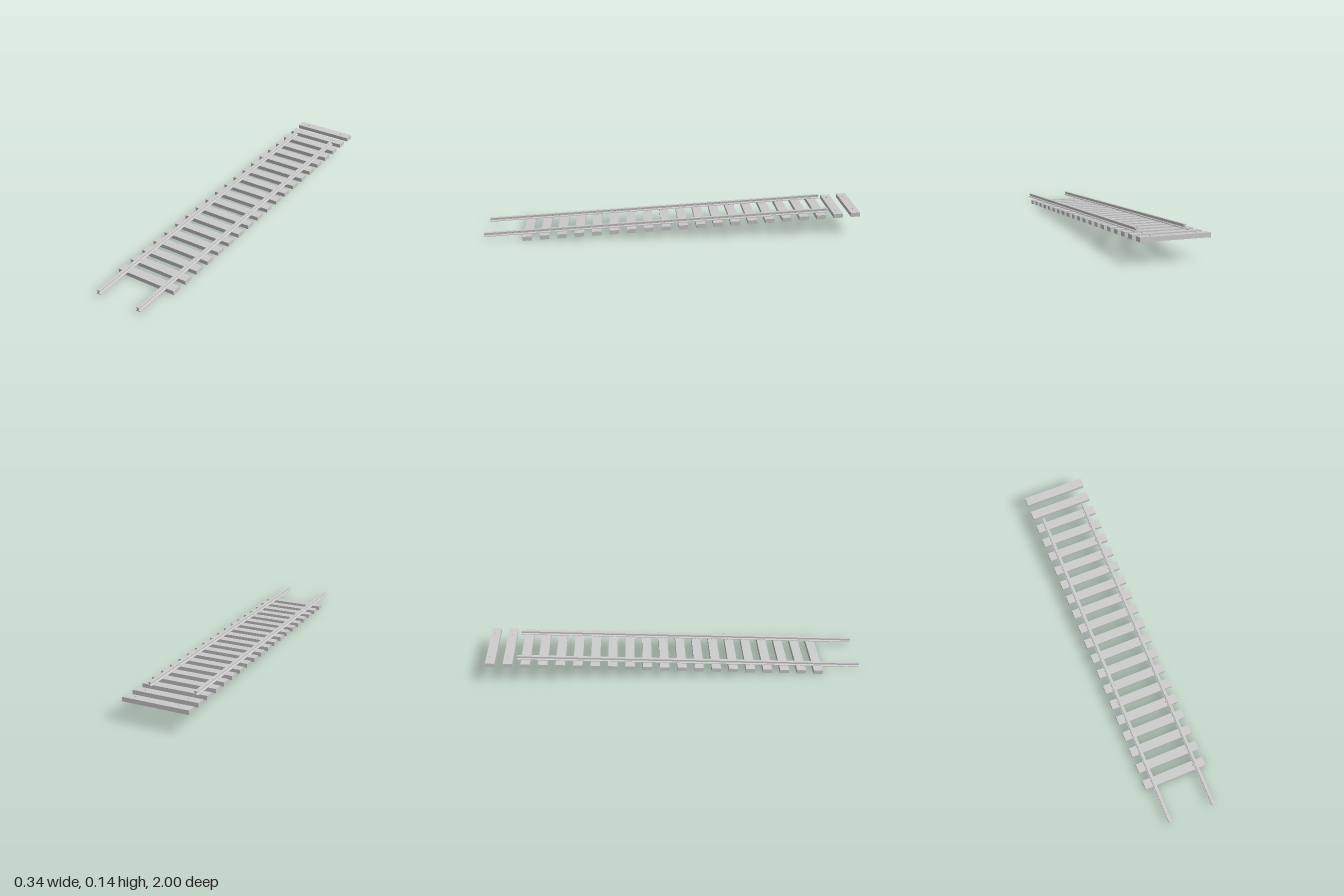
import * as THREE from 'three';

export function createModel() {
  const model = new THREE.Group();
  model.name = 'slopedTrack';
  const mat = new THREE.MeshStandardMaterial({ color: 0xcccccc, flatShading: true });

  // tilted frame: local y = 0 is the plane of the sleeper tops
  const track = new THREE.Group();
  track.name = 'track';
  track.position.y = 0.068;
  track.rotation.x = Math.atan(0.0577);
  model.add(track);

  const add = (geometry, name, x, y, z) => {
    const mesh = new THREE.Mesh(geometry, mat);
    mesh.name = name;
    mesh.position.set(x, y, z);
    track.add(mesh);
  };

  // rail section: wide foot, narrow web, rounded head
  const half = [
    [0.0105, 0], [0.0105, 0.003], [0.003, 0.0065], [0.003, 0.0125],
    [0.0075, 0.0145], [0.0075, 0.0195], [0.006, 0.021],
  ];
  const outline = [...half, ...half.map(([x, y]) => [-x, y]).reverse()];
  const section = new THREE.Shape(outline.map(([x, y]) => new THREE.Vector2(x, y)));
  const railGeo = new THREE.ExtrudeGeometry(section, { depth: 1.835, bevelEnabled: false });

  // spike: short shank with a domed head
  const spikeGeo = new THREE.LatheGeometry(
    [[0.004, -0.01], [0.004, 0.001], [0.0065, 0.002], [0.0055, 0.005], [0, 0.0065]]
      .map(([r, y]) => new THREE.Vector2(r, y)), 8);
  const sleeperGeo = new THREE.BoxGeometry(0.342, 0.022, 0.049);

  // evenly spaced sleepers with one spike on the inside of each rail
  for (let i = 0; i < 20; i++) {
    const z = 0.771 - i * 0.0919;
    add(sleeperGeo, 'sleeper', 0, -0.011, z);
    for (const side of [-1, 1]) add(spikeGeo, 'spike', side * 0.112, 0, z);
  }

  // rails overhang the low end and stop short of the high end
  for (const side of [-1, 1]) {
    add(railGeo, side > 0 ? 'leftRail' : 'rightRail', side * 0.121, 0.001, -0.836);
  }
  return model;
}
